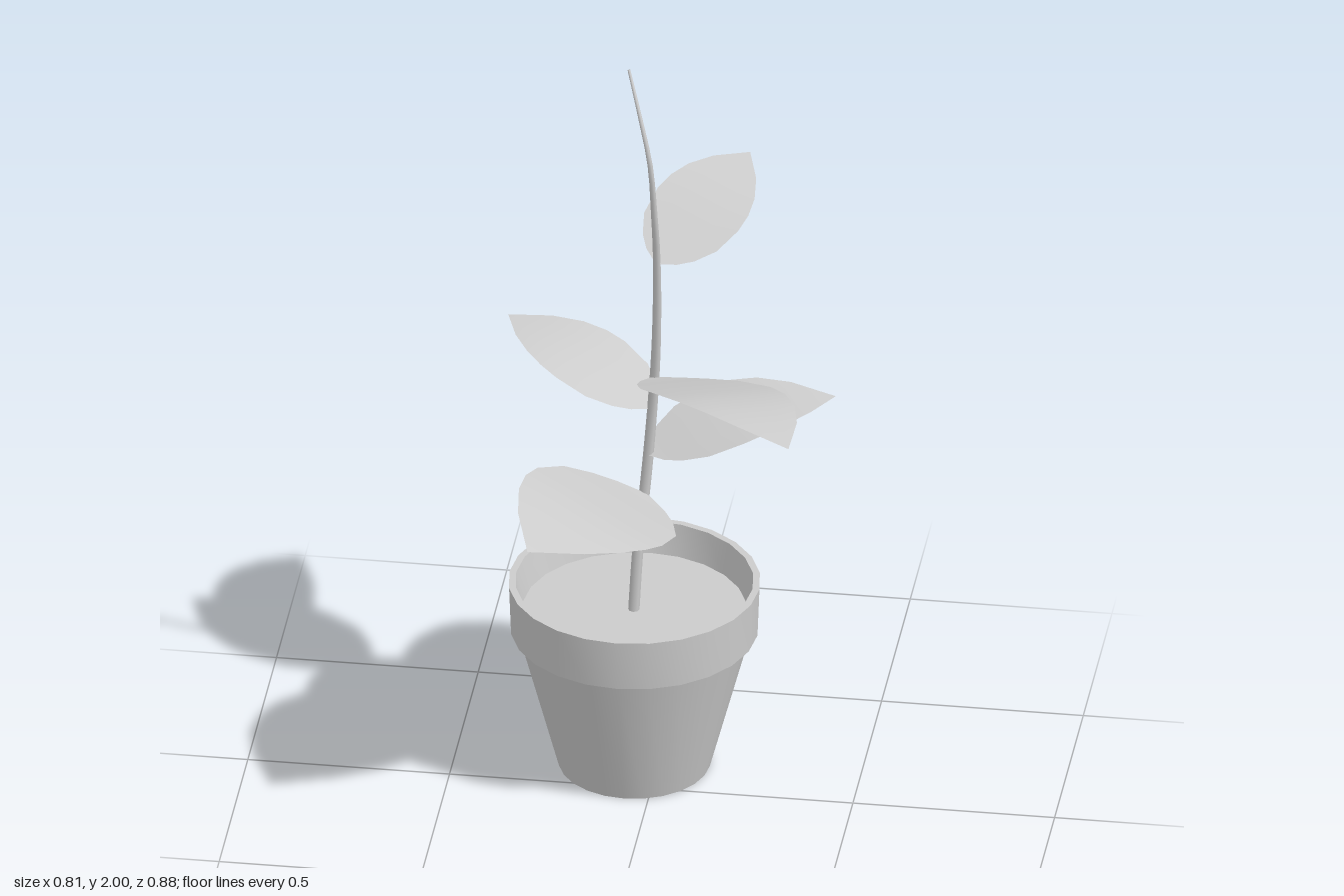
import * as THREE from 'three';
import { toCreasedNormals } from 'three/addons/utils/BufferGeometryUtils.js';

const grey = new THREE.MeshStandardMaterial({ color: 0xcccccc });
const greyThin = new THREE.MeshStandardMaterial({ color: 0xcccccc, side: THREE.DoubleSide });
const POT_X = -0.06, POT_Z = -0.13, SOIL_Y = 0.43;

function named(name, geometry, material = grey) {
  const mesh = new THREE.Mesh(geometry, material);
  mesh.name = name;
  return mesh;
}

// Tapered pot with an overhanging rim, turned from one profile
function makePot() {
  const profile = [
    [0, 0], [0.187, 0], [0.287, 0.38], [0.305, 0.38], [0.31, 0.512],
    [0.293, 0.512], [0.274, SOIL_Y - 0.01],
  ].map(([r, y]) => new THREE.Vector2(r, y));
  return named('pot', toCreasedNormals(new THREE.LatheGeometry(profile, 24), 0.5), greyThin);
}

// Curved stem: a tube thinned towards its tip
function makeStem() {
  const curve = new THREE.CatmullRomCurve3([
    [-0.062, 0.42, -0.13], [-0.052, 0.6, -0.135], [-0.033, 0.8, -0.143], [-0.017, 1.0, -0.138],
    [-0.003, 1.2, -0.108], [0.005, 1.46, -0.063], [0.003, 1.62, -0.03], [-0.005, 1.77, -0.012],
    [-0.03, 1.88, -0.03], [-0.065, 2.0, -0.068],
  ].map((p) => new THREE.Vector3(...p)));
  const rings = 32, sides = 8;
  const geometry = new THREE.TubeGeometry(curve, rings, 0.014, sides);
  const pos = geometry.attributes.position;
  const v = new THREE.Vector3();
  for (let i = 0; i < pos.count; i++) {
    const t = Math.floor(i / (sides + 1)) / rings;
    const center = curve.getPointAt(t);
    v.fromBufferAttribute(pos, i).sub(center).multiplyScalar(1 - 0.75 * t ** 2).add(center);
    pos.setXYZ(i, v.x, v.y, v.z);
  }
  return named('stem', geometry, greyThin);
}

// Half width of a leaf along its length, as [position, fraction of the widest]
const OUTLINE = [
  [0, 0.06], [0.05, 0.38], [0.12, 0.64], [0.24, 0.9], [0.42, 1],
  [0.54, 0.96], [0.67, 0.82], [0.82, 0.53], [1, 0],
];

// Arched leaf from base to tip; roll is its sideways slope, bow its sideways bend
function makeLeaf({ name, base, tip, half, arch, roll, bow }) {
  const a = new THREE.Vector3(...base), b = new THREE.Vector3(...tip);
  const dir = b.clone().sub(a).setY(0).normalize();
  const side = new THREE.Vector3(dir.z, 0, -dir.x);
  const cols = 4, positions = [], index = [];
  OUTLINE.forEach(([t, w], row) => {
    const bulge = Math.sin(Math.PI * t ** 1.2);
    for (let c = 0; c <= cols; c++) {
      const s = ((c / cols) * 2 - 1) * w * half;
      const p = a.clone().lerp(b, t).addScaledVector(side, s + bow * bulge);
      positions.push(p.x, p.y + arch * bulge + roll * s, p.z);
      if (row && c) {
        const q = row * (cols + 1) + c, o = q - cols - 1;
        index.push(o - 1, q - 1, o, o, q - 1, q);
      }
    }
  });
  const geometry = new THREE.BufferGeometry();
  geometry.setAttribute('position', new THREE.Float32BufferAttribute(positions, 3));
  geometry.setIndex(index);
  geometry.computeVertexNormals();
  return named(name, geometry, greyThin);
}

const LEAVES = [
  { name: 'frontRightLeaf', base: [-0.03, 0.76, -0.13], tip: [-0.245, 0.905, 0.435], half: 0.175, arch: 0.04, roll: -0.35, bow: 0.01 },
  { name: 'backLeftLeaf', base: [-0.03, 0.87, -0.14], tip: [0.405, 0.935, -0.37], half: 0.14, arch: 0.04, roll: 0.02, bow: 0.008 },
  { name: 'backRightLeaf', base: [-0.02, 1.0, -0.14], tip: [-0.405, 1.11, -0.355], half: 0.14, arch: 0.028, roll: 0.1, bow: 0 },
  { name: 'frontLeftLeaf', base: [-0.01, 1.1, -0.12], tip: [0.385, 1.18, 0.315], half: 0.162, arch: 0.045, roll: -0.25, bow: 0.018 },
  { name: 'upperLeaf', base: [0.005, 1.46, -0.062], tip: [0.185, 1.58, -0.425], half: 0.12, arch: 0.025, roll: 0.18, bow: -0.007 },
];

export function createModel() {
  const model = new THREE.Group();
  model.name = 'pottedPlant';

  const pot = makePot();
  pot.position.set(POT_X, 0, POT_Z);

  // Flat soil disc inside the rim
  const soil = named('soil', new THREE.CircleGeometry(0.277, 24).rotateX(-Math.PI / 2));
  soil.position.set(POT_X, SOIL_Y, POT_Z);

  model.add(pot, soil, makeStem(), ...LEAVES.map(makeLeaf));
  return model;
}
